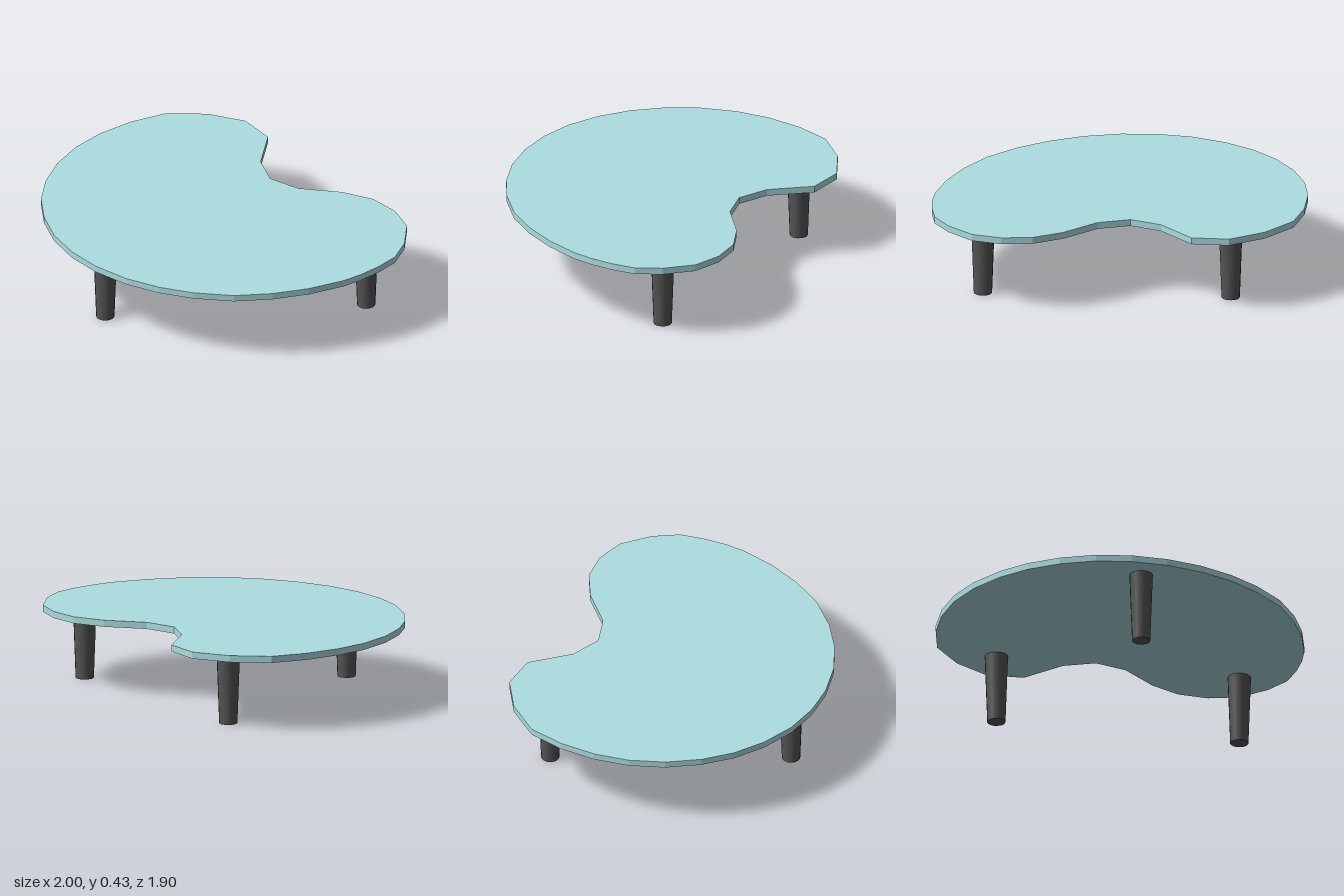
import * as THREE from 'three';

const BASE = 0.393, TOP = 0.43;

// Kidney-shaped outline of the table top, as [x, z] pairs
const OUTLINE = [
  [-0.34, -0.95], [-0.11, -0.95], [0.10, -0.88], [0.225, -0.715],
  [0.19, -0.455], [0.245, -0.28], [0.40, -0.18], [0.64, -0.145],
  [0.81, -0.075], [0.93, 0.045], [1, 0.20], [0.99, 0.385],
  [0.94, 0.53], [0.85, 0.635], [0.755, 0.72], [0.66, 0.785],
  [0.475, 0.87], [0.28, 0.925], [0.07, 0.95], [-0.15, 0.925],
  [-0.34, 0.87], [-0.525, 0.78], [-0.69, 0.655], [-0.82, 0.51],
  [-0.92, 0.34], [-0.98, 0.15], [-1, -0.04], [-0.98, -0.225],
  [-0.92, -0.415], [-0.82, -0.59], [-0.69, -0.735], [-0.525, -0.86],
];

// Leg centres, as [x, z]
const LEGS = [[-0.64, 0.47], [0.78, 0.32], [-0.085, -0.72]];

export function createModel() {
  const model = new THREE.Group();
  model.name = 'kidneyTable';

  // Flat slab with faceted edge
  const shape = new THREE.Shape(OUTLINE.map(([x, z]) => new THREE.Vector2(x, -z)));
  const slab = new THREE.ExtrudeGeometry(shape, { depth: TOP - BASE, bevelEnabled: false });
  slab.rotateX(-Math.PI / 2);
  const tableTop = new THREE.Mesh(slab, new THREE.MeshStandardMaterial({ color: 0xaddde0 }));
  tableTop.name = 'tableTop';
  tableTop.position.y = BASE;
  model.add(tableTop);

  // Three round legs, tapering towards the floor
  const legGeometry = new THREE.CylinderGeometry(0.064, 0.05, BASE, 16);
  const legMaterial = new THREE.MeshStandardMaterial({ color: 0x555555 });
  LEGS.forEach(([x, z], i) => {
    const leg = new THREE.Mesh(legGeometry, legMaterial);
    leg.name = `leg${i + 1}`;
    leg.position.set(x, BASE / 2, z);
    model.add(leg);
  });

  return model;
}
